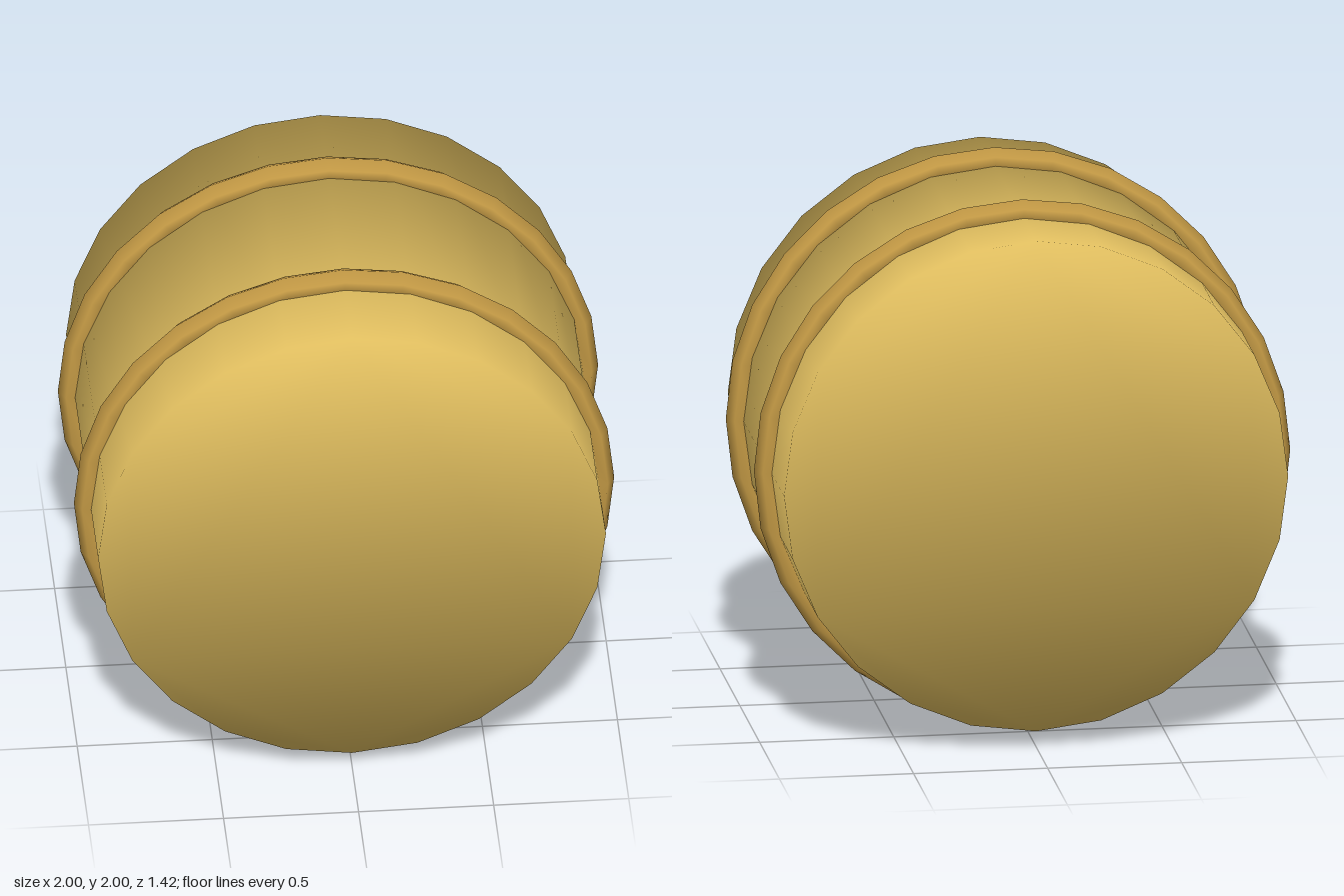
import * as THREE from 'three';
import { mergeVertices } from 'three/addons/utils/BufferGeometryUtils.js';

const SIDES = 24, RADIUS = 0.94, DEPTH = 1.42;

// Closed 24-sided drum along z, shaded softly across its rims
function drumGeometry() {
  const outline = [];
  for (let i = 0; i < SIDES; i++) {
    const a = (i / SIDES) * Math.PI * 2;
    outline.push(new THREE.Vector2(Math.cos(a) * RADIUS, Math.sin(a) * RADIUS));
  }
  let geo = new THREE.ExtrudeGeometry(new THREE.Shape(outline), { depth: DEPTH, bevelEnabled: false });
  geo.translate(0, 0, -DEPTH / 2);
  geo.deleteAttribute('uv');
  geo.deleteAttribute('normal');
  geo.clearGroups();
  geo = mergeVertices(geo);
  // Rim normals lean halfway between the wall and the end face
  const pos = geo.attributes.position;
  const normals = [];
  const n = new THREE.Vector3();
  for (let i = 0; i < pos.count; i++) {
    n.set(pos.getX(i) / RADIUS, pos.getY(i) / RADIUS, Math.sign(pos.getZ(i))).normalize();
    normals.push(n.x, n.y, n.z);
  }
  geo.setAttribute('normal', new THREE.Float32BufferAttribute(normals, 3));
  return geo;
}

export function createModel() {
  const model = new THREE.Group();
  model.name = 'barrelDrum';

  const drum = new THREE.Mesh(drumGeometry(), new THREE.MeshStandardMaterial({ color: 0xdebc5e }));
  drum.name = 'drumBody';
  drum.position.y = 1;
  model.add(drum);

  // Two raised hoops with a hexagonal section
  const hoopGeo = new THREE.TorusGeometry(0.947, 0.053, 6, 28);
  const hoopMat = new THREE.MeshStandardMaterial({ color: 0xc49a45 });
  for (const [name, z] of [['frontHoop', 0.355], ['backHoop', -0.355]]) {
    const hoop = new THREE.Mesh(hoopGeo, hoopMat);
    hoop.name = name;
    hoop.position.set(0, 1, z);
    model.add(hoop);
  }
  return model;
}
